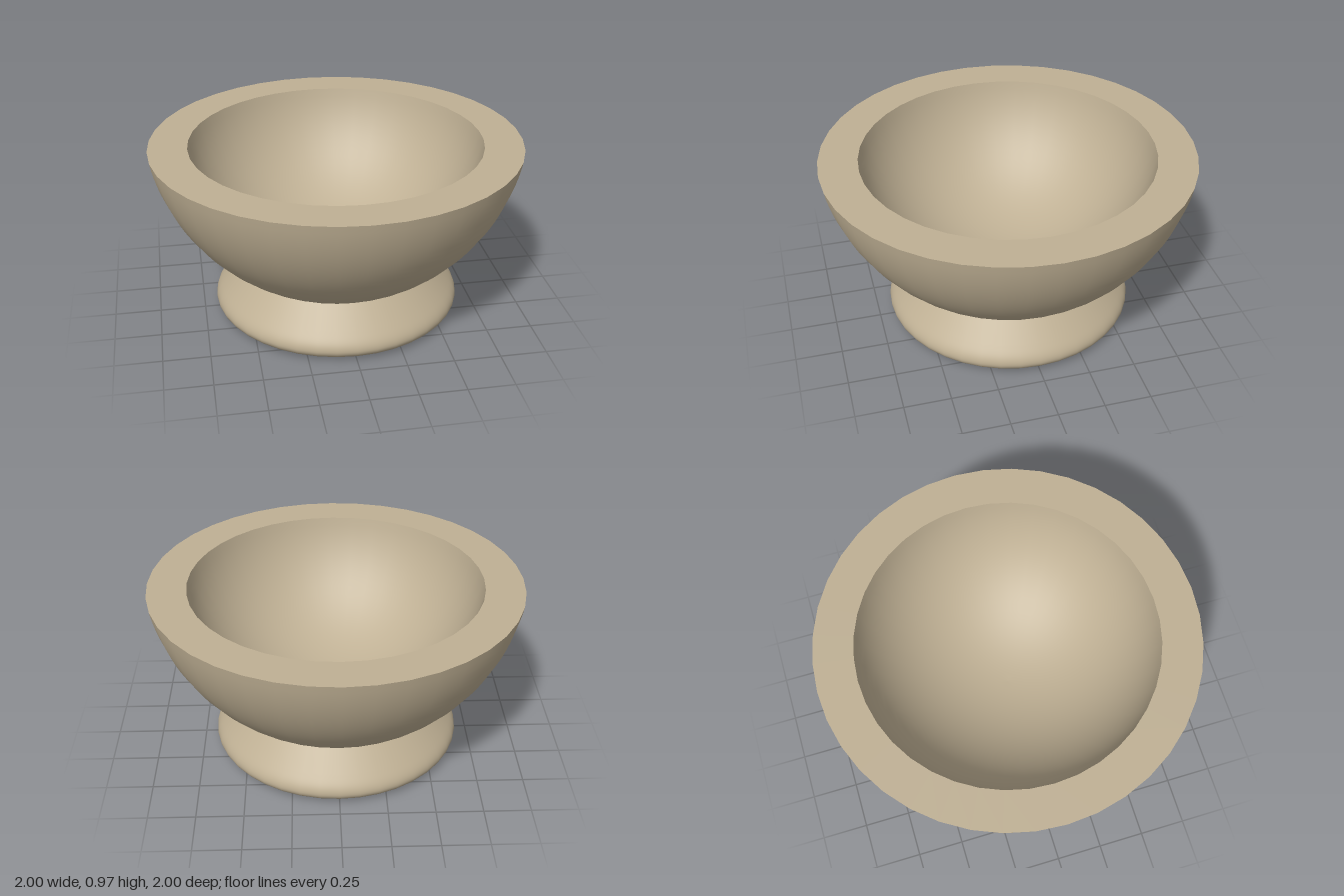
import * as THREE from 'three';

const SEGMENTS = 40;
const CENTRE_Y = 1.134; // shared centre of the inner and outer spheres
const RIM_Y = 0.97;
const material = new THREE.MeshStandardMaterial({ color: 0xbfb094 });

// Revolve one smooth stretch of profile; separate stretches keep sharp edges
function turned(name, points) {
  const mesh = new THREE.Mesh(new THREE.LatheGeometry(points, SEGMENTS), material);
  mesh.name = name;
  return mesh;
}

// Profile along a sphere between two heights
function sphereProfile(radius, y0, y1, steps) {
  const a0 = Math.asin((y0 - CENTRE_Y) / radius);
  const a1 = Math.asin((y1 - CENTRE_Y) / radius);
  return Array.from({ length: steps + 1 }, (_, i) => {
    const a = a0 + (a1 - a0) * i / steps;
    return new THREE.Vector2(Math.max(0, radius * Math.cos(a)), CENTRE_Y + radius * Math.sin(a));
  });
}

export function createModel() {
  const model = new THREE.Group();
  model.name = 'footedBowl';

  // Bowl: outer wall, flat thick rim, hollow
  const outer = sphereProfile(1.0133, 0.27, RIM_Y, 20);
  const inner = sphereProfile(0.807, RIM_Y, CENTRE_Y - 0.807, 24);
  const bowl = new THREE.Group();
  bowl.name = 'bowl';
  bowl.add(
    turned('outerWall', outer),
    turned('rim', [outer[outer.length - 1], inner[0]]),
    turned('hollow', inner),
  );

  // Foot: rounded lower edge, then a slope up to the neck
  const edge = new THREE.Path();
  edge.moveTo(0.6, 0.005);
  edge.bezierCurveTo(0.645, 0.005, 0.68, 0.035, 0.68, 0.065);
  edge.bezierCurveTo(0.68, 0.1, 0.65, 0.13, 0.625, 0.16);
  edge.lineTo(outer[0].x, 0.27);
  const foot = new THREE.Group();
  foot.name = 'foot';
  foot.add(
    turned('footSide', edge.getPoints(10)),
    turned('footBase', [new THREE.Vector2(0, 0), new THREE.Vector2(0.12, 0.001), new THREE.Vector2(0.6, 0.005)]),
  );

  model.add(bowl, foot);
  return model;
}
